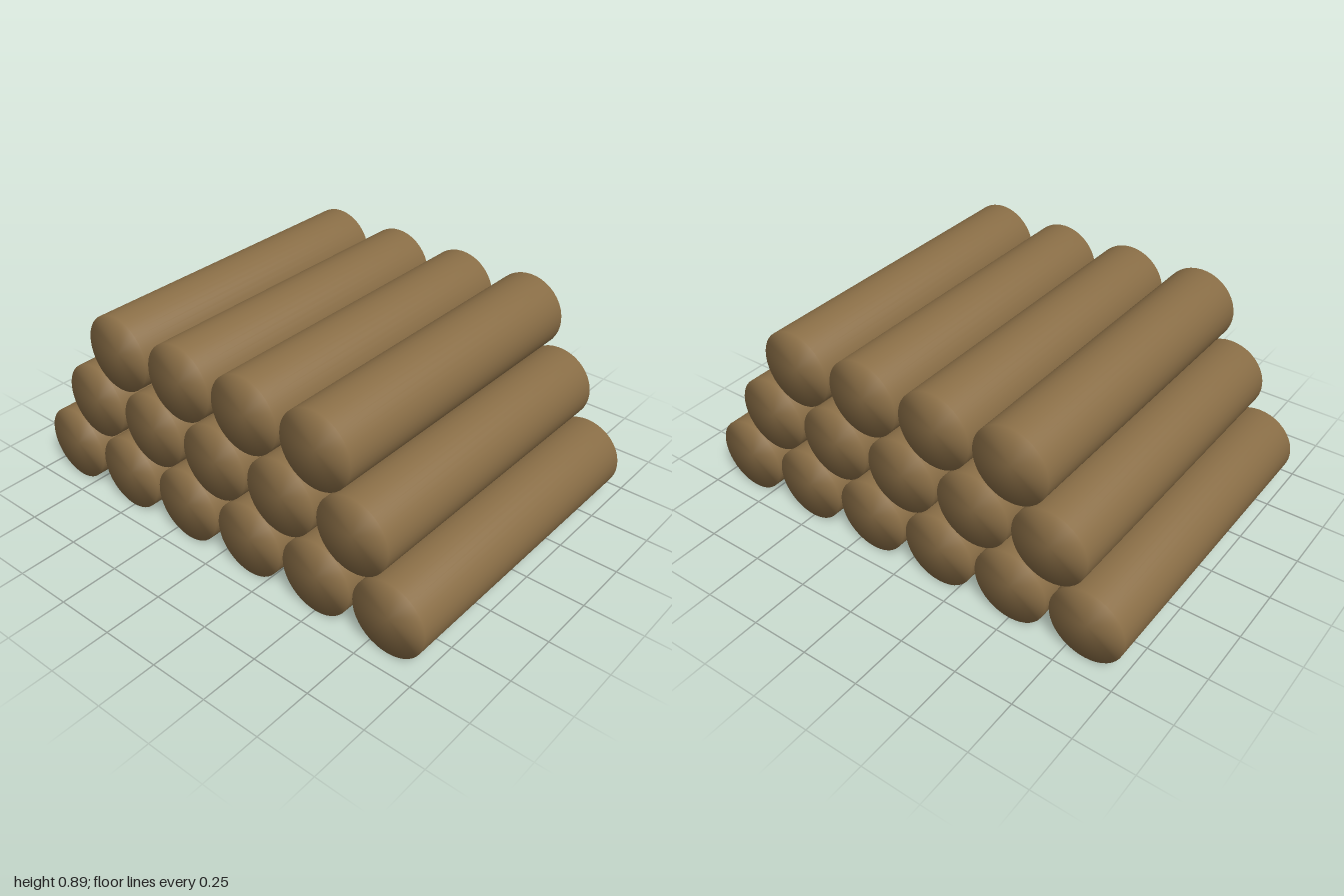
import * as THREE from 'three';

export function createModel() {
  const model = new THREE.Group();
  model.name = 'logPile';

  const bark = new THREE.MeshStandardMaterial({ color: 0x8b6f47 });
  bark.name = 'bark brown';

  const radius = 0.1613, half = 0.672;
  const spacing = 0.3355, rise = 0.2825;

  // One log: flat ends, with normals blended smoothly over the rims
  const profile = [
    new THREE.Vector2(0, -half),
    new THREE.Vector2(radius, -half),
    new THREE.Vector2(radius, half),
    new THREE.Vector2(0, half),
  ];
  const logGeometry = new THREE.LatheGeometry(profile, 40);
  logGeometry.rotateX(Math.PI / 2);

  // Three staggered rows, each one log shorter than the row below
  [6, 5, 4].forEach((count, level) => {
    const row = new THREE.Group();
    row.name = ['bottomRow', 'middleRow', 'topRow'][level];
    row.position.y = radius + level * rise;
    for (let i = 0; i < count; i++) {
      const log = new THREE.Mesh(logGeometry, bark);
      log.name = 'log';
      log.position.x = (i - (count - 1) / 2) * spacing;
      row.add(log);
    }
    model.add(row);
  });

  return model;
}
